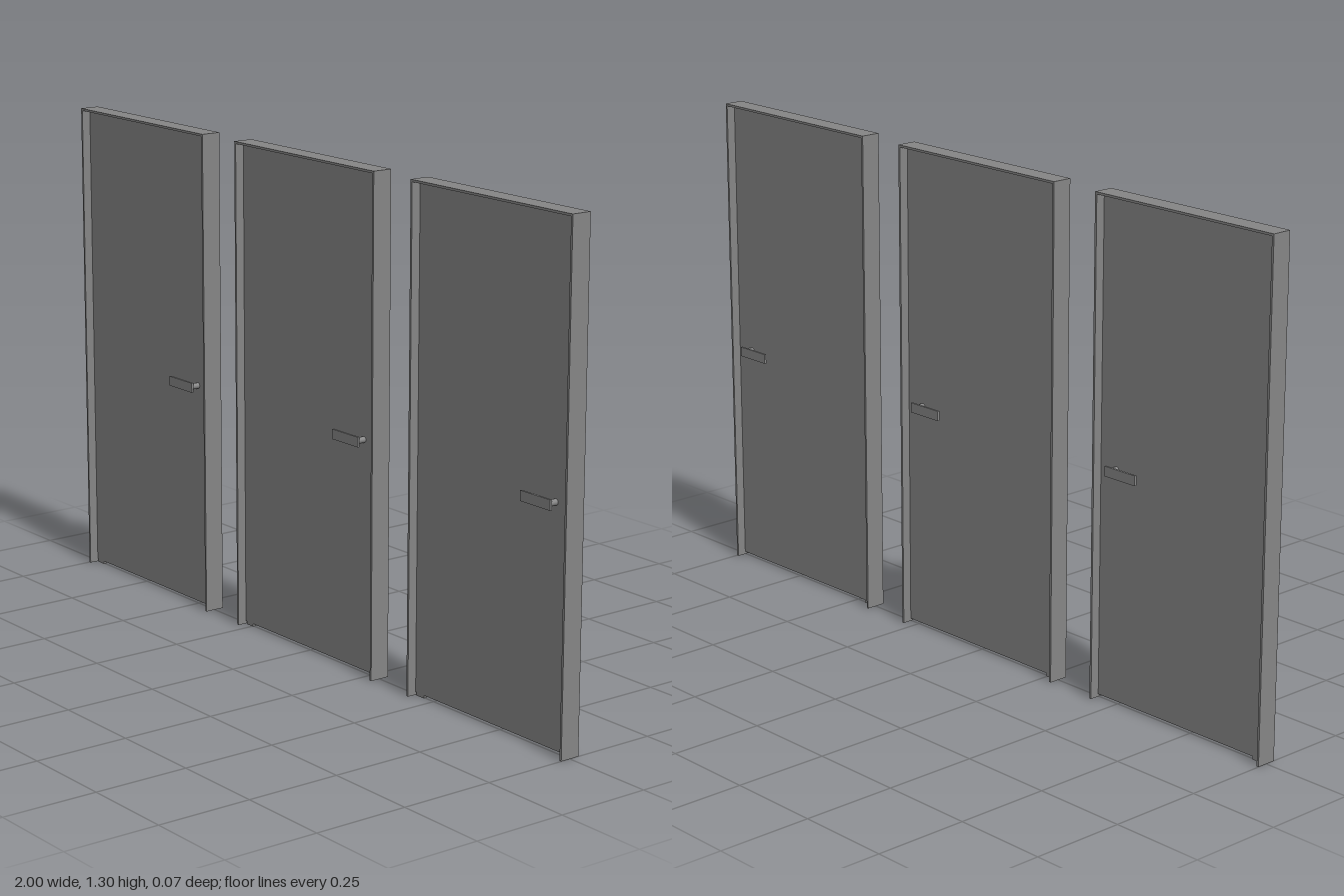
import * as THREE from 'three';

const W = 0.573, H = 1.302, D = 0.054; // frame outer size
const T = 0.006;                       // frame board thickness
const GAP = 0.002, TOP_GAP = 0.004, FLOOR_GAP = 0.008; // clearances round the leaf
const LEAF = 0.008;                    // leaf thickness

const material = new THREE.MeshStandardMaterial({ color: 0x868686 });

function box(name, w, h, d, x, y, z) {
  const mesh = new THREE.Mesh(new THREE.BoxGeometry(w, h, d), material);
  mesh.name = name;
  mesh.position.set(x, y, z);
  return mesh;
}

function createDoor() {
  const door = new THREE.Group();

  // Frame: two jambs and a head, open at the floor
  const frame = new THREE.Group();
  frame.name = 'frame';
  for (const s of [-1, 1]) {
    frame.add(box(s < 0 ? 'rightJamb' : 'leftJamb', T, H, D, s * (W - T) / 2, H / 2, 0));
  }
  frame.add(box('head', W - 2 * T, T, D, 0, H - T / 2, 0));
  door.add(frame);

  // Thin leaf set in the middle of the frame
  const leafTop = H - T - TOP_GAP;
  door.add(box('leaf', W - 2 * T - 2 * GAP, leafTop - FLOOR_GAP, LEAF,
    0, (leafTop + FLOOR_GAP) / 2, 0));

  // Pivots above and below the hinge edge
  const pivotX = -W / 2 + 0.026;
  door.add(box('topPivot', 0.028, TOP_GAP, LEAF, pivotX, leafTop + TOP_GAP / 2, 0));
  door.add(box('bottomPivot', 0.028, FLOOR_GAP, LEAF, pivotX, FLOOR_GAP / 2, 0));

  // Lever handle on each face, its stem at the latch end
  for (const s of [1, -1]) {
    const handle = new THREE.Group();
    handle.name = s > 0 ? 'frontHandle' : 'backHandle';
    handle.add(box('lever', 0.104, 0.026, 0.006, 0.185, 0.614, s * 0.031));
    const stem = new THREE.Mesh(new THREE.CylinderGeometry(0.008, 0.008, 0.026, 16), material);
    stem.name = 'stem';
    stem.rotation.x = Math.PI / 2;
    stem.position.set(0.224, 0.614, s * 0.016);
    handle.add(stem);
    door.add(handle);
  }
  return door;
}

export function createModel() {
  const model = new THREE.Group();
  model.name = 'doors';
  ['rightDoor', 'middleDoor', 'leftDoor'].forEach((name, i) => {
    const door = createDoor();
    door.name = name;
    door.position.x = (i - 1) * (1 - W / 2);
    model.add(door);
  });
  return model;
}
